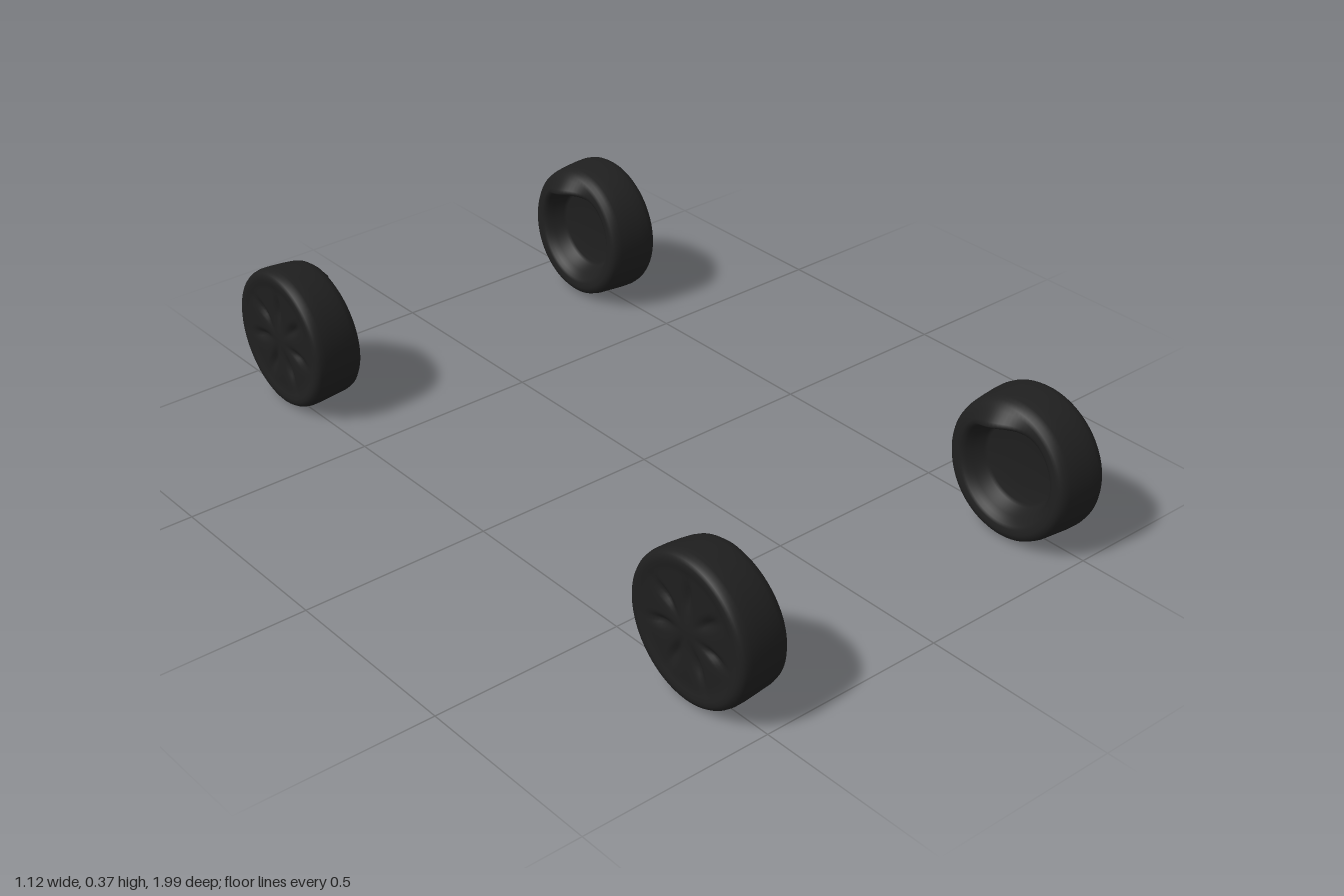
import * as THREE from 'three';
import { mergeVertices } from 'three/addons/utils/BufferGeometryUtils.js';

// Wheel section as [radius, distance along the axle]; the outer face is positive.
const SECTION = [
  // recessed inner floor and its sloping wall
  [0, -0.012], [0.05, -0.012], [0.1, -0.016], [0.108, -0.022], [0.122, -0.045], [0.13, -0.058],
  // inner lip
  [0.137, -0.066], [0.145, -0.069], [0.158, -0.07], [0.168, -0.067], [0.176, -0.059],
  // tread, slightly narrower on the inside
  [0.18, -0.045], [0.183, -0.015], [0.186, 0.02], [0.1865, 0.045],
  // outer shoulder
  [0.184, 0.058], [0.179, 0.066], [0.17, 0.07], [0.16, 0.07], [0.15, 0.0675], [0.14, 0.066],
  // outer face, dense enough for the spoke hollows
  [0.13, 0.066], [0.12, 0.066], [0.11, 0.066], [0.1, 0.066], [0.09, 0.066], [0.08, 0.066],
  [0.07, 0.066], [0.06, 0.066], [0.05, 0.066], [0.04, 0.066], [0.03, 0.066], [0.02, 0.067], [0, 0.067],
];
const SPOKES = 7;

const bell = (x, width) => Math.exp(-(x * x) / (width * width));

// side is +1 for a left wheel and -1 for a right wheel
function wheelGeometry(side) {
  const points = SECTION.map(([r, a]) => new THREE.Vector2(r, a));
  let geometry = new THREE.LatheGeometry(points, 84);
  geometry.rotateZ(-side * Math.PI / 2);
  geometry.deleteAttribute('normal');
  geometry.deleteAttribute('uv');
  geometry = mergeVertices(geometry, 1e-5);

  const p = geometry.attributes.position;
  for (let i = 0; i < p.count; i++) {
    let axial = p.getX(i) * side;
    let y = p.getY(i);
    const z = p.getZ(i);
    const r = Math.hypot(y, z);
    if (axial > 0.06 && r < 0.15) {
      // radial hollows between the spokes
      const angle = Math.atan2(z, y);
      const across = Math.sin(angle * SPOKES / 2) * r * 2 / SPOKES;
      axial -= 0.012 * bell(across, 0.011) * bell(r - 0.085, 0.036);
    } else if (axial < -0.03) {
      // inner side leans in towards the ground
      axial += 0.008 * y / 0.18;
      if (y > 0) {
        // bracket-like bulge at the top of the inner lip
        const bump = bell(z + 0.035, 0.07) * Math.min(1, y / 0.08);
        axial -= 0.044 * bump * bell(r - 0.134, 0.02);
        if (r < 0.15) y -= 0.012 * bump;
      }
    }
    p.setXYZ(i, axial * side, y, z);
  }
  geometry.computeVertexNormals();
  return geometry;
}

export function createModel() {
  const group = new THREE.Group();
  group.name = 'wheelSet';
  const rubber = new THREE.MeshStandardMaterial({ color: 0x1f1f1f });
  rubber.name = 'black rubber';

  const left = wheelGeometry(1);
  const right = wheelGeometry(-1);
  // name, geometry, centre x, centre z
  const wheels = [
    ['frontLeftWheel', left, 0.487, 0.808],
    ['frontRightWheel', right, -0.495, 0.806],
    ['backLeftWheel', left, 0.49, -0.803],
    ['backRightWheel', right, -0.47, -0.813],
  ];
  for (const [name, geometry, x, z] of wheels) {
    const wheel = new THREE.Mesh(geometry, rubber);
    wheel.name = name;
    wheel.position.set(x, 0.188, z);
    group.add(wheel);
  }
  return group;
}
